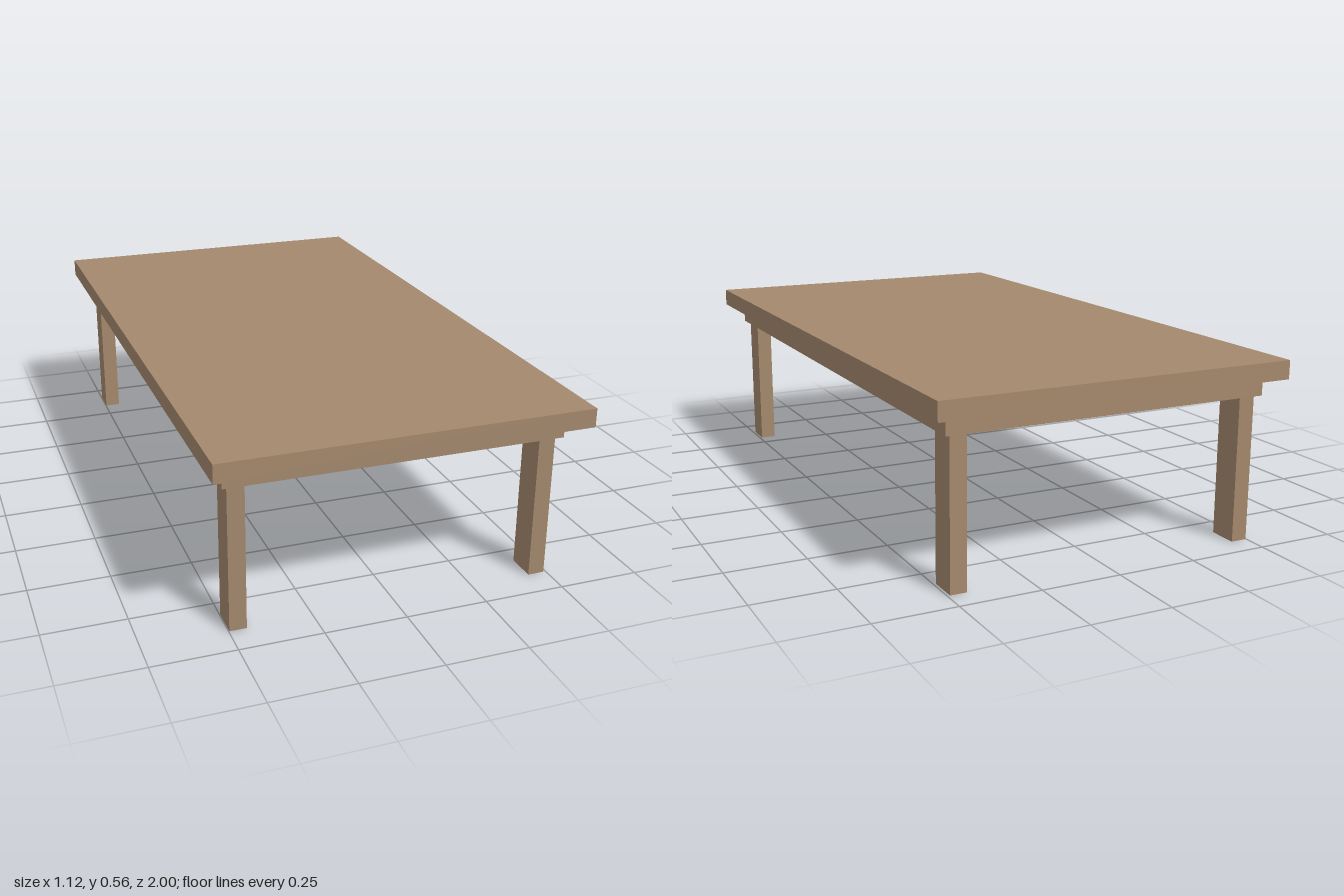
import * as THREE from 'three';

export function createModel() {
  const table = new THREE.Group();
  table.name = 'table';
  const wood = new THREE.MeshStandardMaterial({ color: 0xa4886c });
  wood.name = 'wood';

  // Box given by its lower and upper corners
  function addBox(name, [x0, y0, z0], [x1, y1, z1]) {
    const mesh = new THREE.Mesh(new THREE.BoxGeometry(x1 - x0, y1 - y0, z1 - z0), wood);
    mesh.position.set((x0 + x1) / 2, (y0 + y1) / 2, (z0 + z1) / 2);
    mesh.name = name;
    table.add(mesh);
  }

  const under = 0.507; // underside of the top
  const railBottom = 0.45;
  const rail = 0.018; // rail thickness

  addBox('tableTop', [-0.56, under, -1], [0.56, 0.564, 1]);

  // Four thin rails forming an open frame, slightly off centre
  const [xL, xR, zB, zF] = [-0.515, 0.51, -0.939, 0.922];
  addBox('rightRail', [xL, railBottom, zB], [xL + rail, under, zF]);
  addBox('leftRail', [xR - rail, railBottom, zB], [xR, under, zF]);
  addBox('frontRail', [xL + rail, railBottom, zF - rail], [xR - rail, under, zF]);
  addBox('backRail', [xL + rail, railBottom, zB], [xR - rail, under, zB + rail]);

  // Legs stand inside the frame corners and reach the top
  for (const [side, x] of [['Right', -0.498], ['Left', 0.441]]) {
    for (const [end, z] of [['front', 0.813], ['back', -0.924]]) {
      addBox(`${end}${side}Leg`, [x, 0, z], [x + 0.051, under, z + 0.092]);
    }
  }

  return table;
}
